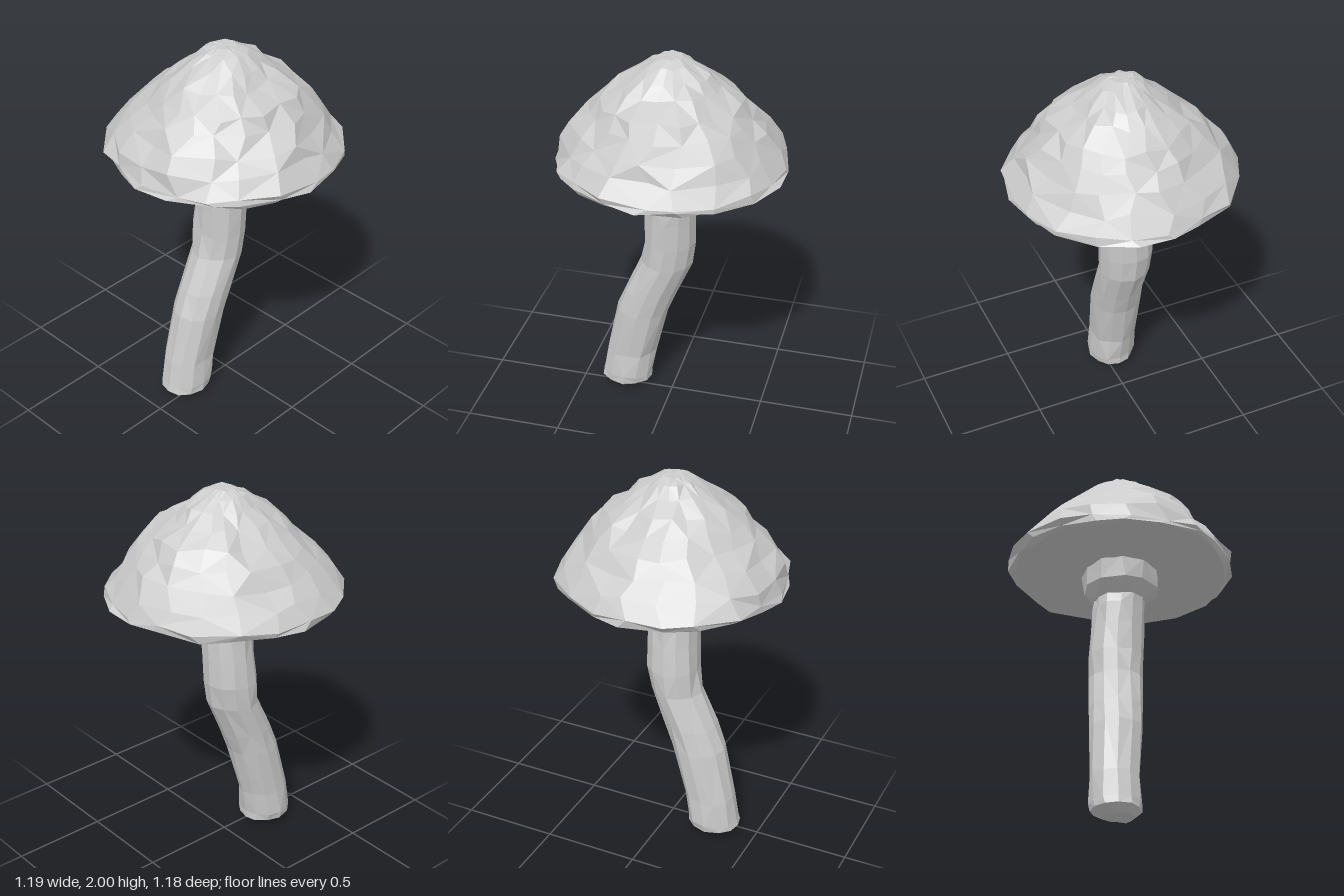
import * as THREE from 'three';

// Small seeded random, -1 to 1
function seeded(seed) {
  let s = seed;
  return () => {
    s = (s * 16807) % 2147483647;
    return (s / 2147483647) * 2 - 1;
  };
}

// Closed loft through horizontal oval rings [y, xMin, xMax, zMin, zMax], listed bottom to top
function loft(rings, sides, wobble, seed) {
  const rand = seeded(seed);
  const pos = [], index = [];
  for (const [y, x0, x1, z0, z1] of rings) {
    for (let i = 0; i < sides; i++) {
      const w = Math.min(wobble, (x1 - x0) * 0.05);
      const a = ((i + rand() * wobble * 10) / sides) * Math.PI * 2;
      const k = 1 + (rand() * w * 2) / (x1 - x0);
      pos.push(
        (x0 + x1) / 2 + ((x1 - x0) / 2) * k * Math.sin(a),
        y + rand() * w * 0.7,
        (z0 + z1) / 2 + ((z1 - z0) / 2) * k * Math.cos(a)
      );
    }
  }
  for (let r = 0; r < rings.length - 1; r++) {
    for (let i = 0; i < sides; i++) {
      const a = r * sides + i, b = r * sides + ((i + 1) % sides);
      const c = a + sides, d = b + sides;
      if ((r + i) % 2) index.push(a, b, d, a, d, c);
      else index.push(a, b, c, b, d, c);
    }
  }
  // End caps
  for (const r of [0, rings.length - 1]) {
    const [y, x0, x1, z0, z1] = rings[r];
    const centre = pos.length / 3;
    pos.push((x0 + x1) / 2, y, (z0 + z1) / 2);
    for (let i = 0; i < sides; i++) {
      const a = r * sides + i, b = r * sides + ((i + 1) % sides);
      if (r === 0) index.push(centre, b, a);
      else index.push(centre, a, b);
    }
  }
  const g = new THREE.BufferGeometry();
  g.setAttribute('position', new THREE.Float32BufferAttribute(pos, 3));
  g.setIndex(index);
  g.computeVertexNormals();
  return g;
}

export function createModel() {
  const group = new THREE.Group();
  const material = new THREE.MeshStandardMaterial({ color: 0xcccccc, flatShading: true });
  const add = (name, geometry) => {
    const mesh = new THREE.Mesh(geometry, material);
    mesh.name = name;
    group.add(mesh);
  };

  // Domed cap with a thin rim and flat underside
  add('cap', loft([
    [1.435, -0.54, 0.56, -0.56, 0.56],
    [1.45, -0.58, 0.59, -0.59, 0.585],
    [1.48, -0.595, 0.585, -0.59, 0.59],
    [1.56, -0.54, 0.53, -0.53, 0.55],
    [1.64, -0.465, 0.475, -0.47, 0.49],
    [1.72, -0.39, 0.42, -0.42, 0.41],
    [1.79, -0.31, 0.36, -0.35, 0.35],
    [1.86, -0.23, 0.245, -0.26, 0.27],
    [1.92, -0.16, 0.175, -0.18, 0.175],
    [1.97, -0.1, 0.115, -0.1, 0.1],
    [1.998, -0.06, 0.06, -0.05, 0.05],
  ], 20, 0.02, 41));

  // Bent stem with a rounded foot
  add('stem', loft([
    [0.008, -0.1, 0.05, 0.19, 0.35],
    [0.04, -0.16, 0.085, 0.12, 0.405],
    [0.08, -0.17, 0.09, 0.12, 0.395],
    [0.22, -0.165, 0.08, 0.1, 0.37],
    [0.5, -0.165, 0.1, 0.03, 0.305],
    [0.63, -0.165, 0.105, -0.02, 0.26],
    [0.82, -0.165, 0.11, -0.1, 0.17],
    [0.95, -0.167, 0.115, -0.12, 0.15],
    [1.1, -0.16, 0.12, -0.125, 0.145],
    [1.22, -0.145, 0.125, -0.125, 0.14],
    [1.29, -0.14, 0.125, -0.125, 0.135],
  ], 12, 0.006, 7));

  // Flared collar under the cap
  add('collar', loft([
    [1.27, -0.14, 0.125, -0.135, 0.135],
    [1.335, -0.195, 0.2, -0.205, 0.2],
    [1.45, -0.205, 0.205, -0.215, 0.21],
  ], 11, 0.008, 19));

  return group;
}
